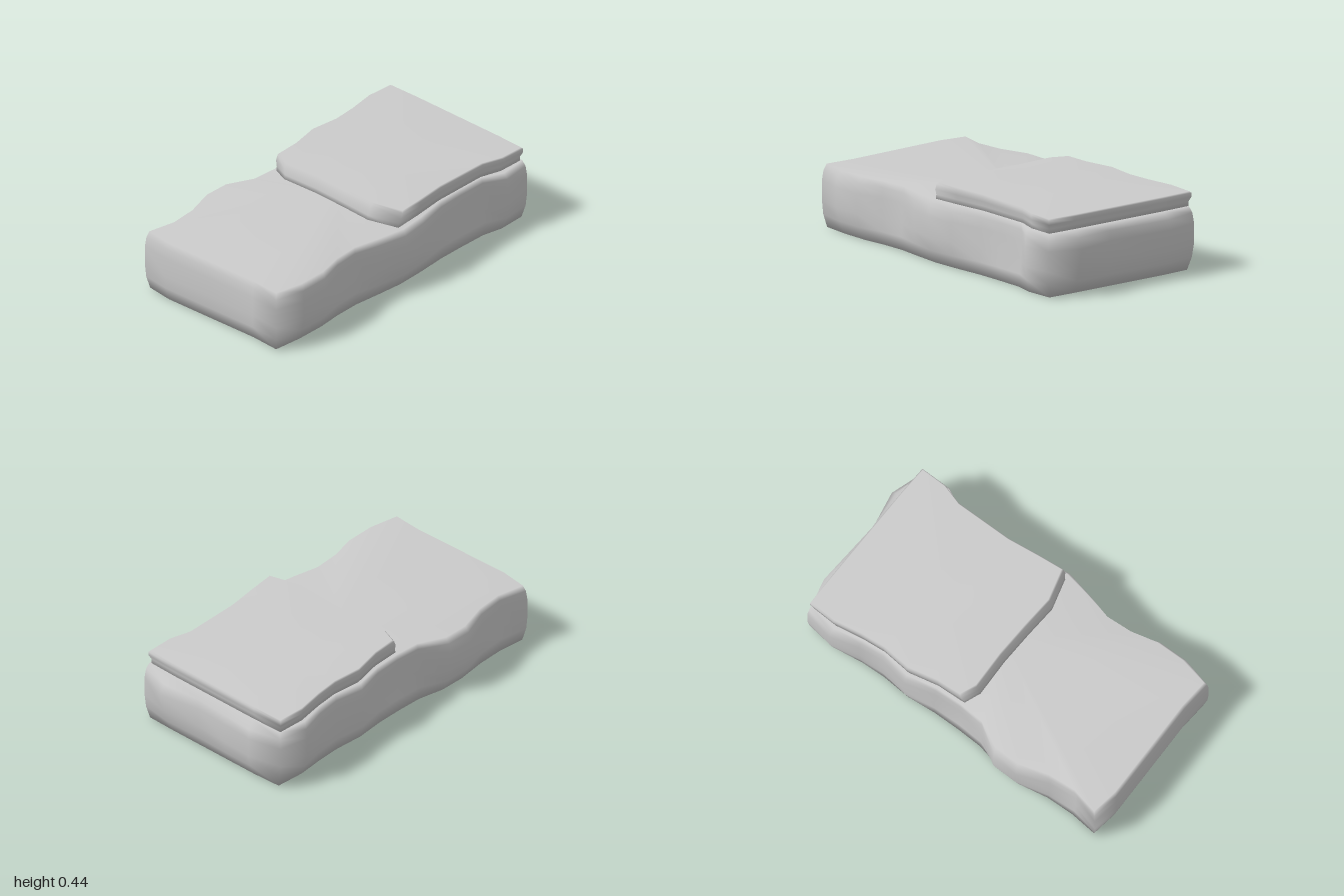
import * as THREE from 'three';

const material = new THREE.MeshStandardMaterial({ color: 0xcccccc });

// Smooth closed solid from stacked rings (each an array of [x, y, z]), capped at both ends.
function loft(name, rings) {
  const n = rings[0].length;
  const pos = rings.flat(2);
  const index = [];
  for (let j = 0; j < rings.length - 1; j++) {
    for (let i = 0; i < n; i++) {
      const k = (i + 1) % n;
      const a = j * n + i, b = j * n + k, c = b + n, d = a + n;
      index.push(a, d, c, a, c, b);
    }
  }
  const addCap = (j, up) => {
    const centre = pos.length / 3;
    for (let axis = 0; axis < 3; axis++) {
      pos.push(rings[j].reduce((sum, p) => sum + p[axis], 0) / n);
    }
    for (let i = 0; i < n; i++) {
      const a = j * n + i, b = j * n + (i + 1) % n;
      index.push(centre, up ? b : a, up ? a : b);
    }
  };
  addCap(0, false);
  addCap(rings.length - 1, true);
  const geometry = new THREE.BufferGeometry();
  geometry.setAttribute('position', new THREE.Float32BufferAttribute(pos, 3));
  geometry.setIndex(index);
  geometry.computeVertexNormals();
  const mesh = new THREE.Mesh(geometry, material);
  mesh.name = name;
  return mesh;
}

// Wavy outline seen from above: back edge, +x end, front edge, -x end
const back = [[-0.98, -0.48], [-0.82, -0.44], [-0.66, -0.46], [-0.49, -0.53], [-0.34, -0.53],
  [-0.19, -0.44], [-0.04, -0.43], [0.12, -0.44], [0.29, -0.49], [0.46, -0.46], [0.6, -0.48],
  [0.76, -0.53], [0.93, -0.5]];
const rightEnd = [[0.975, -0.31], [0.965, -0.12], [0.955, 0.08], [1.0, 0.31]];
const front = [[0.935, 0.485], [0.77, 0.51], [0.65, 0.44], [0.48, 0.44], [0.32, 0.45], [0.13, 0.5],
  [-0.03, 0.525], [-0.2, 0.49], [-0.35, 0.45], [-0.5, 0.465], [-0.65, 0.515], [-0.82, 0.52],
  [-0.99, 0.48]];
const leftEnd = [[-0.98, 0.3], [-0.99, 0], [-1.0, -0.32]];
const bodyOutline = [...back, ...rightEnd, ...front, ...leftEnd];

// Ring at height y: inset pulls it inward, wave scales the ripple of the long edges
function bodyRing(y, inset, wave, maxX) {
  return bodyOutline.map(([x, z]) => {
    const side = Math.sign(z);
    const rippled = Math.abs(z) > 0.42 ? THREE.MathUtils.lerp(side * 0.48, z, wave) : z;
    return [Math.min(x * (1 - inset), maxX), y, rippled * (1 - 2 * inset)];
  });
}

// Upper slab outline: the body edge beyond x = -0.05, closed by a ragged step
const slabOutline = [
  [-0.04, -0.415], [0.12, -0.425], [0.29, -0.465], [0.46, -0.45], [0.6, -0.465], [0.76, -0.495],
  [0.92, -0.49], [0.925, -0.3], [0.925, 0.08], [0.925, 0.3],
  [0.92, 0.47], [0.77, 0.47], [0.65, 0.435], [0.32, 0.44], [0.13, 0.465], [-0.03, 0.48],
  [-0.08, 0.3], [-0.07, 0.1], [-0.065, -0.1], [-0.075, -0.32]];

function slabRing(y, inset, stepX, tilt) {
  return slabOutline.map(([x, z]) => [
    x < 0 ? x + stepX : x * (1 - inset), y - tilt * x, z * (1 - 2 * inset)]);
}

export function createModel() {
  const group = new THREE.Group();
  group.name = 'steppedStone';

  // Bulging lower block
  group.add(loft('lowerBlock', [
    bodyRing(0.005, 0.02, 0.35, 0.92),
    bodyRing(0.075, 0.005, 0.7, 0.955),
    bodyRing(0.15, 0, 1, 0.975),
    bodyRing(0.26, 0, 1, 1),
    bodyRing(0.315, 0.006, 0.95, 0.97),
    bodyRing(0.35, 0.018, 0.8, 0.925),
  ]));

  // Raised slab on the +x half, slightly undercut
  group.add(loft('upperSlab', [
    slabRing(0.34, 0.012, -0.01, 0),
    slabRing(0.375, 0.012, -0.005, 0),
    slabRing(0.405, 0, 0, 0.005),
    slabRing(0.435, 0, 0.012, 0.014),
    slabRing(0.444, 0.008, 0.02, 0.015),
  ]));
  return group;
}
